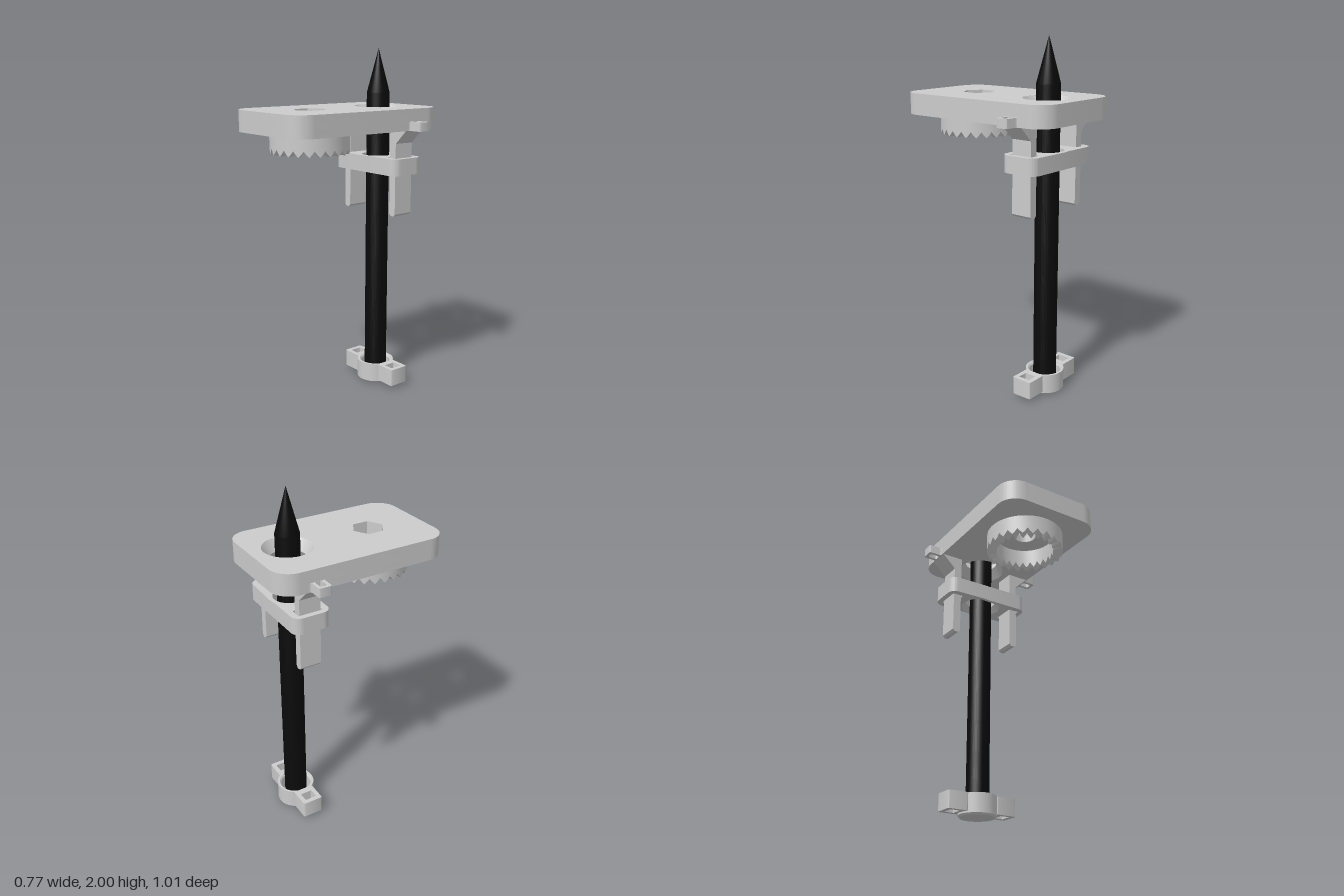
import * as THREE from 'three';
import { toCreasedNormals } from 'three/addons/utils/BufferGeometryUtils.js';

const grey = new THREE.MeshStandardMaterial({ color: 0xcccccc });
const black = new THREE.MeshStandardMaterial({ color: 0x0a0a0a });
const V = (x, y) => new THREE.Vector2(x, y);
const ROD_Z = -0.297, CROWN_Z = 0.198;

function roundedRect(x0, x1, h, r, Type = THREE.Shape) {
  const s = new Type();
  s.absarc(x1 - r, h - r, r, 0, Math.PI / 2);
  s.absarc(x0 + r, h - r, r, Math.PI / 2, Math.PI);
  s.absarc(x0 + r, r - h, r, Math.PI, Math.PI * 1.5);
  s.absarc(x1 - r, r - h, r, Math.PI * 1.5, Math.PI * 2);
  s.closePath();
  return s;
}

const rectHole = (x0, x1, h, r) => roundedRect(x0, x1, h, r, THREE.Path);

// y here is measured in the shape plane, so pass -z
const circleHole = (y, r) => new THREE.Path().absarc(0, y, r, 0, Math.PI * 2, true);

// horizontal slab from a plan shape, between two heights
function slab(shape, y0, y1) {
  const g = new THREE.ExtrudeGeometry(shape, { depth: y1 - y0, bevelEnabled: false, curveSegments: 20 });
  return g.rotateX(-Math.PI / 2).translate(0, y0, 0);
}

const lathe = (pts, n = 64) => new THREE.LatheGeometry(pts.map(p => V(...p)), n);

export function createModel() {
  const root = new THREE.Group();
  const add = (name, geo, z = 0, turn = 0, mat = grey) => {
    const m = new THREE.Mesh(toCreasedNormals(geo, 0.45), mat);
    m.name = name;
    m.position.z = z;
    m.rotation.y = turn;
    root.add(m);
  };
  // the same part on both sides of the rod
  const addPair = (name, geo) => {
    add(name + 'Left', geo, ROD_Z);
    add(name + 'Right', geo, ROD_Z, Math.PI);
  };

  // top plate: lower layer with bolt hole, upper layer with hexagonal nut recess
  const lower = roundedRect(-0.308, 0.308, 0.507, 0.115);
  lower.holes.push(circleHole(-ROD_Z, 0.137), circleHole(-CROWN_Z, 0.063));
  add('plateLower', slab(lower, 1.555, 1.6));
  const upper = roundedRect(-0.308, 0.308, 0.507, 0.115);
  const hex = new THREE.Path().setFromPoints(Array.from({ length: 7 }, (_, i) => {
    const a = Math.PI / 2 - i * Math.PI / 3;
    return V(0.092 * Math.cos(a), 0.092 * Math.sin(a) - CROWN_Z);
  }));
  upper.holes.push(circleHole(-ROD_Z, 0.137), hex);
  add('plateUpper', slab(upper, 1.6, 1.675));

  // flared rod opening in the plate
  add('rodOpening', lathe([[0.137, 1.675], [0.098, 1.615], [0.137, 1.555]], 80), ROD_Z);

  // toothed ring under the plate: notches cut into the lower rim
  const TEETH = 24, SEG = TEETH * 4;
  const crown = lathe([[0.165, 1.555], [0.165, 1.44], [0.22, 1.44], [0.22, 1.555]], SEG);
  const p = crown.attributes.position;
  for (let i = 0; i < p.count; i++) {
    if (p.getY(i) > 1.5) continue;
    const k = Math.round(Math.atan2(p.getX(i), p.getZ(i)) / (Math.PI * 2) * SEG) + SEG;
    p.setY(i, 1.44 + [0.034, 0.015, 0, 0.015][k % 4]);
  }
  add('toothedRing', crown, CROWN_Z);

  // cord loops on the plate edges
  const loop = new THREE.Shape();
  loop.moveTo(0.3, -0.047);
  loop.lineTo(0.308, -0.047);
  loop.quadraticCurveTo(0.31, -0.037, 0.32, -0.037);
  loop.lineTo(0.371, -0.037);
  loop.quadraticCurveTo(0.384, -0.037, 0.384, -0.025);
  loop.lineTo(0.384, 0.025);
  loop.quadraticCurveTo(0.384, 0.037, 0.371, 0.037);
  loop.lineTo(0.32, 0.037);
  loop.quadraticCurveTo(0.31, 0.037, 0.308, 0.047);
  loop.lineTo(0.3, 0.047);
  loop.closePath();
  loop.holes.push(rectHole(0.309, 0.367, 0.019, 0.012));
  addPair('cordLoop', slab(loop, 1.555, 1.605));

  // legs with sloped gussets and chamfered feet
  const leg = new THREE.Shape([
    V(0.175, 1.555), V(0.175, 1.073), V(0.187, 1.06), V(0.21, 1.06),
    V(0.222, 1.073), V(0.222, 1.477), V(0.302, 1.555),
  ]);
  const legGeo = new THREE.ExtrudeGeometry(leg, { depth: 0.124, bevelEnabled: false });
  addPair('leg', legGeo.translate(0, 0, -0.062));

  // sliding crosspiece around the rod and both legs
  const slider = roundedRect(-0.262, 0.262, 0.109, 0.05);
  slider.holes.push(
    circleHole(0, 0.115),
    rectHole(0.166, 0.231, 0.071, 0.006),
    rectHole(-0.231, -0.166, 0.071, 0.006),
  );
  add('slider', slab(slider, 1.3, 1.395), ROD_Z);
  add('sliderOpening', lathe([[0.115, 1.395], [0.09, 1.395], [0.09, 1.335], [0.115, 1.3]]), ROD_Z);

  // end cup with a pair of eyelets
  add('endCup', lathe([
    [0, 0], [0.1, 0], [0.109, 0.01], [0.109, 0.12], [0.096, 0.12],
    [0.087, 0.11], [0.087, 0.02], [0, 0.02],
  ]), ROD_Z);
  const eyelet = roundedRect(0.09, 0.215, 0.061, 0.01);
  eyelet.holes.push(rectHole(0.13, 0.188, 0.035, 0.004));
  addPair('eyelet', slab(eyelet, 0.02, 0.12));

  // pointed rod
  add('rod', lathe([[0, 0.02], [0.066, 0.02], [0.066, 1.75], [0, 2]], 48), ROD_Z, 0, black);

  return root;
}
